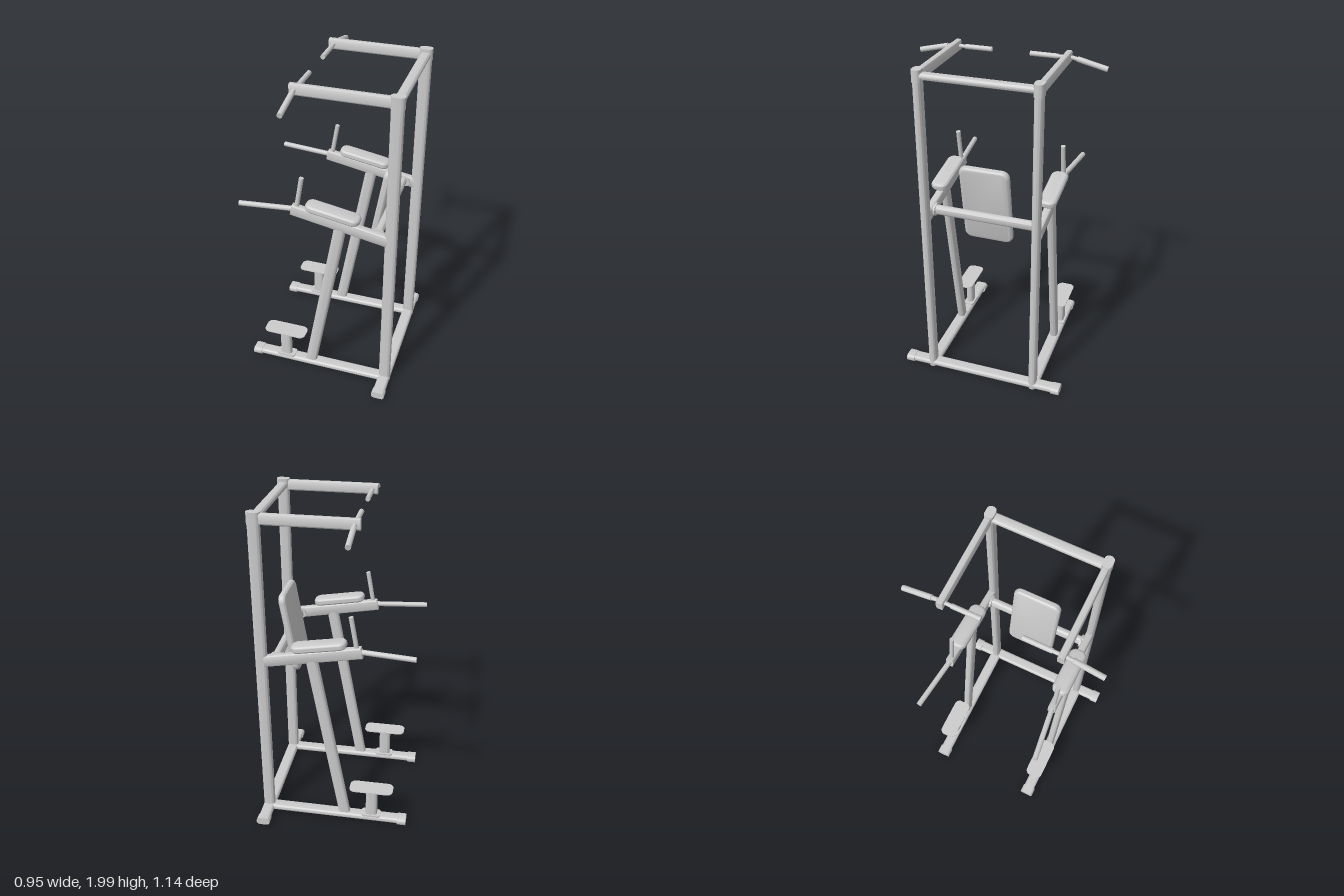
import * as THREE from 'three';
import { toCreasedNormals } from 'three/addons/utils/BufferGeometryUtils.js';

const material = new THREE.MeshStandardMaterial({ color: 0xcccccc });
const V = (x, y, z) => new THREE.Vector3(x, y, z);
const X = V(1, 0, 0), Z = V(0, 0, 1);

function roundedRect(w, h, r) {
  const s = new THREE.Shape(), a = w / 2, b = h / 2;
  s.moveTo(-a + r, -b);
  s.lineTo(a - r, -b); s.absarc(a - r, -b + r, r, -Math.PI / 2, 0);
  s.lineTo(a, b - r); s.absarc(a - r, b - r, r, 0, Math.PI / 2);
  s.lineTo(-a + r, b); s.absarc(-a + r, b - r, r, Math.PI / 2, Math.PI);
  s.lineTo(-a, -b + r); s.absarc(-a + r, -b + r, r, Math.PI, Math.PI * 1.5);
  return s;
}

export function createModel() {
  const model = new THREE.Group();

  const add = (name, geometry) => {
    const mesh = new THREE.Mesh(geometry, material);
    mesh.name = name;
    model.add(mesh);
    return mesh;
  };

  // Rounded bar from a to b: width w along side, thickness t across it
  const bar = (name, a, b, side, w, t, r = Math.min(w, t) * 0.45) => {
    const d = b.clone().sub(a), length = d.length();
    d.normalize();
    const g = new THREE.ExtrudeGeometry(roundedRect(w, t, r), { depth: length, bevelEnabled: false, curveSegments: 5 });
    const basis = new THREE.Matrix4().makeBasis(side, d.clone().cross(side), d).setPosition(a);
    return add(name, toCreasedNormals(g.applyMatrix4(basis), 0.7));
  };

  // Round rod from a to b
  const rod = (name, a, b, r) => {
    const d = b.clone().sub(a);
    const m = add(name, new THREE.CylinderGeometry(r, r, d.length(), 16));
    m.position.copy(a).add(b).multiplyScalar(0.5);
    m.quaternion.setFromUnitVectors(V(0, 1, 0), d.normalize());
  };

  // Upholstered pad w (x) by h (y) by t (z), centred, with rolled edges
  const padGeometry = (w, h, t, corner) => {
    const e = t * 0.45;
    const g = new THREE.ExtrudeGeometry(roundedRect(w - 2 * e, h - 2 * e, corner), {
      depth: t - 2 * e, bevelThickness: e, bevelSize: e, bevelSegments: 5, curveSegments: 5,
    });
    return toCreasedNormals(g.translate(0, 0, -t / 2 + e), 0.7);
  };

  // Cross members between the two sides
  bar('rearBase', V(0.43, 0.032, -0.5), V(0.43, 0.032, 0.5), X, 0.074, 0.038);
  bar('topCrossbar', V(0.43, 1.963, -0.32), V(0.43, 1.963, 0.32), X, 0.06, 0.036);
  const tilt = -0.183;
  const along = V(Math.cos(tilt), Math.sin(tilt), 0);
  bar('middleCrossbar', V(0.345, 1.117, -0.32), V(0.345, 1.117, 0.32), along, 0.046, 0.06);

  // Back pad, leaning slightly back
  const back = add('backPad', padGeometry(0.3, 0.505, 0.046, 0.025));
  back.rotation.set(0, Math.PI / 2, 0);
  back.rotation.order = 'ZYX';
  back.rotation.z = -0.165;
  back.position.set(0.31, 1.183, 0);

  for (const s of [-1, 1]) {
    const z = 0.335 * s;

    // Floor rails and end caps
    bar('sideBase', V(-0.45, 0.032, z), V(0.42, 0.032, z), Z, 0.074, 0.038);
    bar('sideBaseCap', V(-0.46, 0.03, z), V(-0.405, 0.03, z), Z, 0.086, 0.048);
    bar('rearBaseCap', V(0.43, 0.03, 0.46 * s), V(0.43, 0.03, 0.51 * s), X, 0.084, 0.048);

    // Upright with its top cap
    bar('upright', V(0.43, 0.01, z), V(0.43, 1.99, z), X, 0.072, 0.046);
    bar('uprightCap', V(0.43, 1.93, z), V(0.43, 2, z), X, 0.078, 0.054);

    // Overhead arm and pull-up grips
    bar('overheadArm', V(-0.15, 1.962, z), V(0.41, 1.962, z), Z, 0.038, 0.064, 0.012);
    rod('gripCore', V(-0.12, 1.962, 0.12 * s), V(-0.12, 1.962, 0.37 * s), 0.011);
    rod('innerGrip', V(-0.12, 1.962, 0.115 * s), V(-0.12, 1.962, 0.28 * s), 0.0145);
    rod('outerGripCore', V(-0.12, 1.963, 0.36 * s), V(-0.12, 1.92, 0.55 * s), 0.012);
    rod('outerGrip', V(-0.12, 1.957, 0.39 * s), V(-0.12, 1.916, 0.565 * s), 0.016);

    // Sloping dip arm, its support leg and arm pad
    bar('dipArm', V(-0.165, 1.208, z), V(0.41, 1.102, z), Z, 0.046, 0.07, 0.012);
    bar('supportLeg', V(-0.065, 0.045, z), V(0.13, 1.14, z), Z, 0.046, 0.072);
    const pad = add('armPad', padGeometry(0.33, 0.105, 0.046, 0.022));
    pad.rotation.set(-Math.PI / 2, 0, 0);
    pad.rotation.order = 'ZYX';
    pad.rotation.z = -0.17;
    pad.position.set(0.085, 1.228, z);

    // Dip handle and upright hand grip
    rod('dipHandle', V(-0.477, 1.21, 0.374 * s), V(-0.15, 1.21, z), 0.016);
    rod('handGrip', V(-0.137, 1.21, z), V(-0.1, 1.425, z), 0.014);

    // Bracket where the middle crossbar meets the arm
    bar('crossbarBracket', V(0.345, 1.117, 0.3 * s), V(0.345, 1.117, 0.312 * s), along, 0.08, 0.066);

    // Step: flange, post and thin plate
    bar('stepFlange', V(-0.235, 0.045, z), V(-0.235, 0.057, z), X, 0.12, 0.07, 0.015);
    bar('stepPost', V(-0.238, 0.05, z), V(-0.238, 0.25, z), X, 0.074, 0.046);
    bar('stepPlate', V(-0.235, 0.248, z), V(-0.235, 0.254, z), X, 0.272, 0.11, 0.035);
  }
  return model;
}
